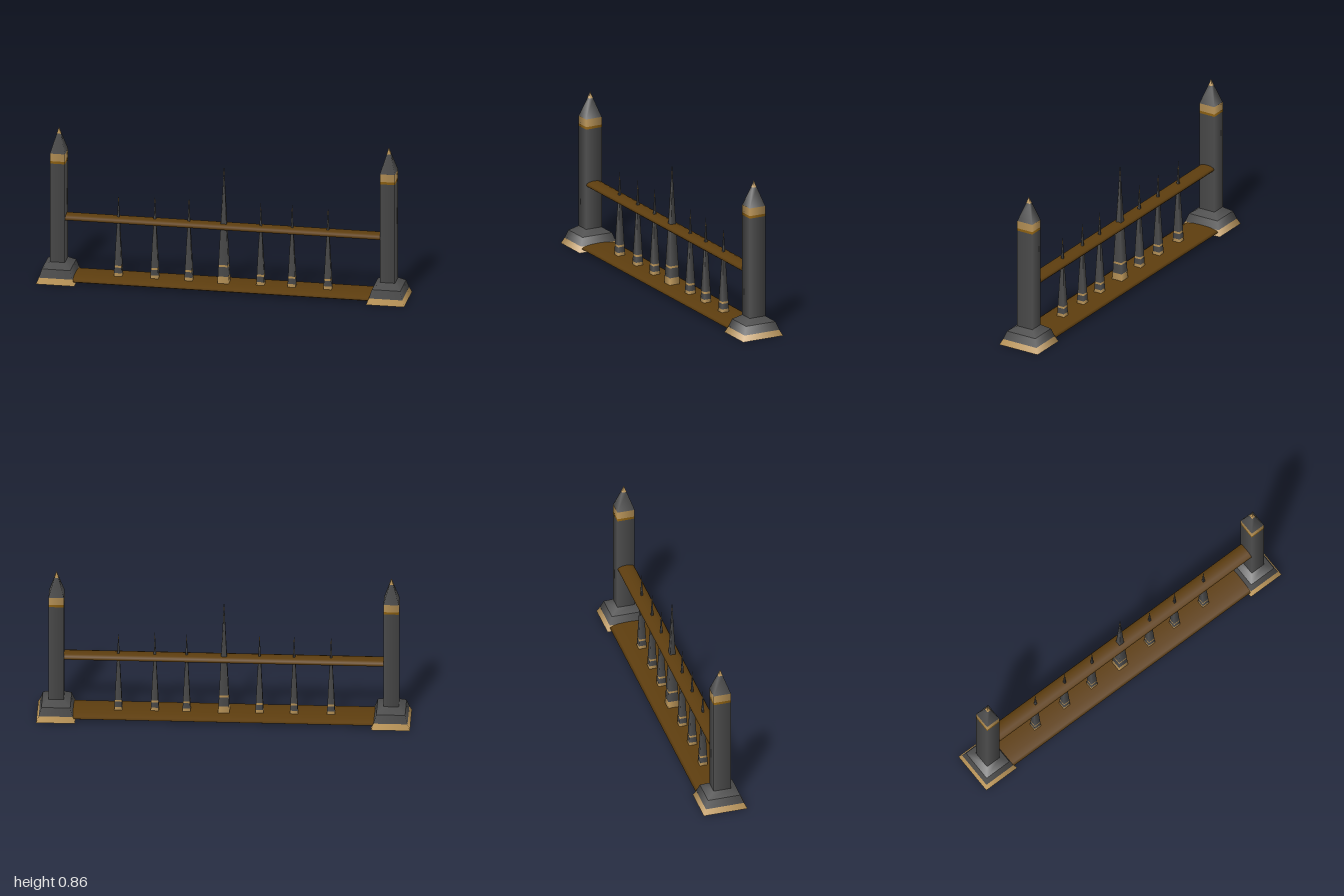
import * as THREE from 'three';

const material = (name, color, side = THREE.DoubleSide) =>
  new THREE.MeshStandardMaterial({ name, color, side });

export function createModel() {
  const iron = material('dark iron', 0x4d4d4d);
  const gold = material('pale gold', 0xbd975a);
  const darkGold = material('dark gold', 0x946614);
  const wood = material('brown wood', 0x5e3e0f);
  const model = new THREE.Group();
  model.name = 'spikedFence';

  // Open four-sided section: half widths along x below and above, depth = ratio * width
  function section(parent, name, mat, y0, half0, y1, half1, ratio = 1) {
    const geo = new THREE.CylinderGeometry(
      half1 * Math.SQRT2, half0 * Math.SQRT2, y1 - y0, 4, 1, true, Math.PI / 4);
    geo.scale(1, 1, ratio);
    geo.translate(0, (y0 + y1) / 2, 0);
    const mesh = new THREE.Mesh(geo, mat);
    mesh.name = name;
    parent.add(mesh);
  }

  // Gate posts: flared hollow foot, square shaft, gold collar and pointed cap
  const postSections = [
    ['footTrim', gold, 0, 0.104, 0.032, 0.091],
    ['foot', iron, 0.032, 0.091, 0.077, 0.077],
    ['footShoulder', iron, 0.077, 0.077, 0.105, 0.041],
    ['shaft', iron, 0.105, 0.041, 0.665, 0.041],
    ['collarRim', darkGold, 0.665, 0.041, 0.679, 0.041],
    ['collar', gold, 0.679, 0.041, 0.722, 0.041],
    ['cap', iron, 0.722, 0.041, 0.825, 0.0104],
    ['capTip', gold, 0.825, 0.0104, 0.86, 0],
  ];
  for (const side of [-1, 1]) {
    const post = new THREE.Group();
    post.name = side > 0 ? 'leftPost' : 'rightPost';
    post.position.x = side * 0.896;
    for (const s of postSections) section(post, ...s, 1.17);
    model.add(post);
  }

  // Flattened wooden bars between the posts
  function bar(name, y, halfHeight, halfDepth, length) {
    const geo = new THREE.CylinderGeometry(1, 1, length, 12);
    geo.rotateZ(Math.PI / 2);
    geo.scale(1, halfHeight, halfDepth);
    const mesh = new THREE.Mesh(geo, wood);
    mesh.name = name;
    mesh.position.y = y;
    model.add(mesh);
  }
  bar('groundBeam', 0.02, 0.016, 0.107, 1.62);
  bar('rail', 0.353, 0.0175, 0.047, 1.74);

  // Tapering spikes standing through the beam, with gold bands
  function spike(x, height, half, foot, ring, tip) {
    const group = new THREE.Group();
    group.name = x === 0 ? 'centreSpike' : 'spike';
    group.position.x = x;
    const at = (y) => half * (1 - y / height);
    const cuts = [0.002, 0.035, foot, ring, ring + 0.011, tip, tip + 0.02, height];
    const names = ['root', 'footBand', 'lowerShaft', 'ring', 'shaft', 'tipBand', 'point'];
    names.forEach((name, i) => section(group, name, i % 2 ? gold : iron,
      cuts[i], at(cuts[i]), cuts[i + 1], at(cuts[i + 1])));
    model.add(group);
  }
  spike(0, 0.71, 0.032, 0.074, 0.128, 0.645);
  for (const [x, height] of [[-0.573, 0.505], [-0.375, 0.51], [-0.19, 0.515],
    [0.2, 0.505], [0.37, 0.51], [0.565, 0.505]]) {
    spike(x, height, 0.023, 0.053, 0.084, height - 0.05);
  }
  return model;
}
